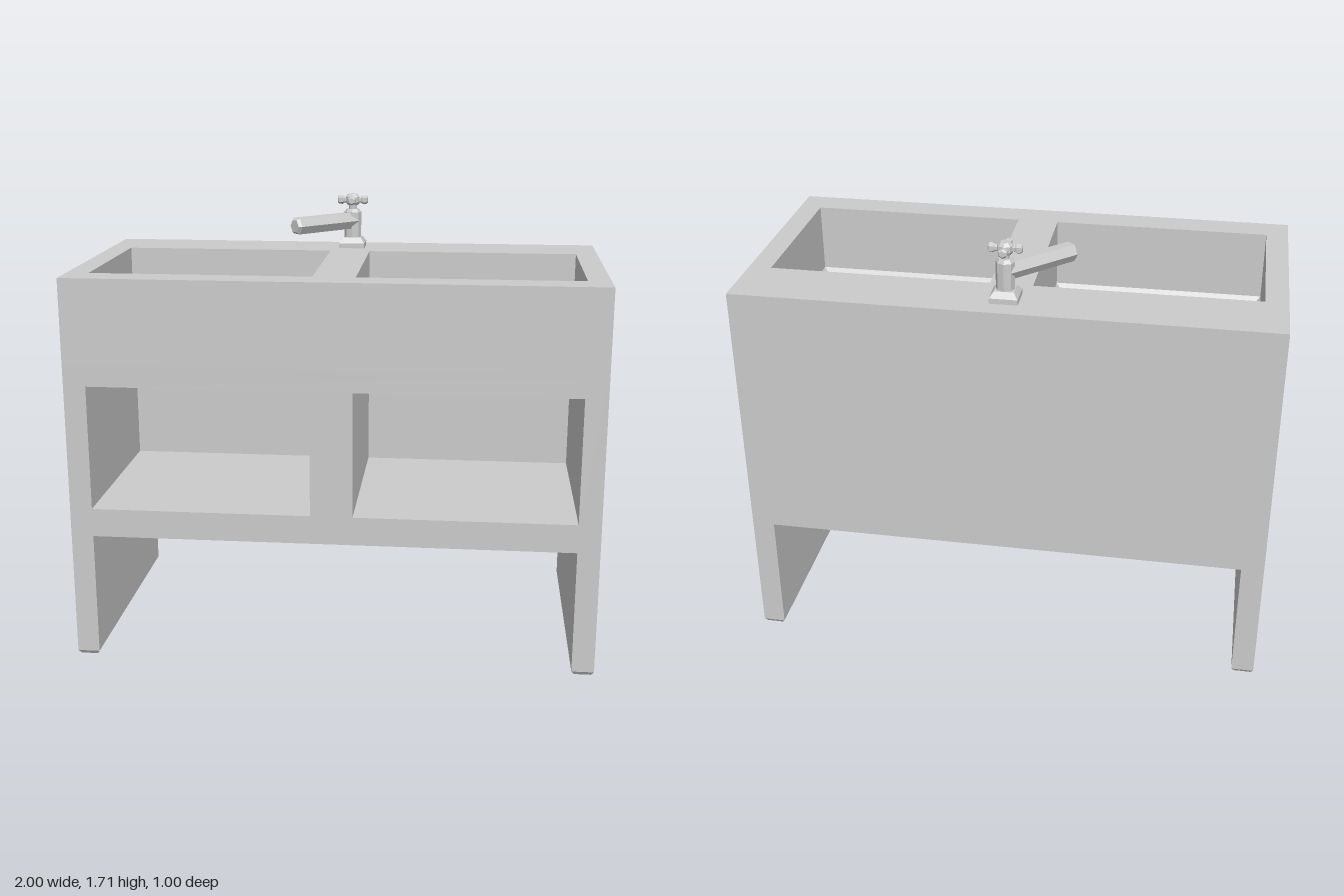
import * as THREE from 'three';

const material = new THREE.MeshStandardMaterial({ color: 0xcccccc, flatShading: true });

function add(parent, name, geometry, x = 0, y = 0, z = 0) {
  const mesh = new THREE.Mesh(geometry, material);
  mesh.name = name;
  mesh.position.set(x, y, z);
  parent.add(mesh);
  return mesh;
}

// Rectangular rings [halfX, halfZ, y] joined by flat faces; listing them downwards turns the faces inwards
function rectLoft(rings, capped = true) {
  const corners = rings.map(([a, b, y]) => [[a, y, b], [a, y, -b], [-a, y, -b], [-a, y, b]]);
  const points = [];
  const quad = (a, b, c, d) => points.push(...a, ...b, ...c, ...a, ...c, ...d);
  for (let i = 0; i + 1 < corners.length; i++) {
    for (let k = 0; k < 4; k++) {
      const n = (k + 1) % 4;
      quad(corners[i][k], corners[i][n], corners[i + 1][n], corners[i + 1][k]);
    }
  }
  if (capped) {
    quad(...corners[corners.length - 1]);
    quad(...[...corners[0]].reverse());
  }
  const geometry = new THREE.BufferGeometry();
  geometry.setAttribute('position', new THREE.Float32BufferAttribute(points, 3));
  geometry.computeVertexNormals();
  return geometry;
}

function polygon(points, Type = THREE.Shape) {
  return new Type(points.map(([x, y]) => new THREE.Vector2(x, y)));
}

const rect = (x0, y0, x1, y1, Type) => polygon([[x0, y0], [x1, y0], [x1, y1], [x0, y1]], Type);
const extrude = (shape, depth) => new THREE.ExtrudeGeometry(shape, { depth, bevelEnabled: false });

// Round part turned from a [radius, y] profile
const turned = (profile, sides) => new THREE.LatheGeometry(profile.map(([r, y]) => new THREE.Vector2(r, y)), sides);

const TOP = 1.49, FLOOR = 1.17, FOOT = 0.015, SHELF = 0.495;
const IN = 0.08, OUT = 0.915; // inner and outer x of the basins and cubbies

function cabinet() {
  const group = new THREE.Group();
  group.name = 'cabinet';

  // Body outline with the two side panels reaching down as legs
  const outline = () => polygon([
    [-1, FOOT], [-OUT, FOOT], [-OUT, SHELF], [OUT, SHELF],
    [OUT, FOOT], [1, FOOT], [1, FLOOR], [-1, FLOOR],
  ]);
  const front = outline();
  for (const [a, b] of [[-OUT, -IN], [IN, OUT]]) front.holes.push(rect(a, 0.605, b, 1.085, THREE.Path));
  add(group, 'cubbyBody', extrude(front, 0.75), 0, 0, -0.25);
  add(group, 'backBody', extrude(outline(), 0.25), 0, 0, -0.5);

  // Worktop with the basin openings, drawn with -z as the shape's y
  const slab = rect(-1, -0.5, 1, 0.5);
  for (const [a, b] of [[-OUT, -IN], [IN, OUT]]) slab.holes.push(rect(a, -0.38, b, 0.25, THREE.Path));
  add(group, 'worktop', extrude(slab, TOP - FLOOR).rotateX(-Math.PI / 2), 0, FLOOR, 0);

  // Sloped edges round the basin floors, and bevelled feet
  const halfX = (OUT - IN) / 2, halfZ = 0.315, slope = 0.052;
  for (const side of [-1, 1]) {
    add(group, 'basinSlope', rectLoft([[halfX, halfZ, 0.052], [halfX - slope, halfZ - slope, 0]], false),
      side * (IN + OUT) / 2, FLOOR, 0.065);
    add(group, 'foot', rectLoft([[0.0325, 0.49, 0], [0.0425, 0.5, FOOT]]), side * (1 + OUT) / 2, 0, 0);
  }
  return group;
}

function faucet() {
  const group = new THREE.Group();
  group.name = 'faucet';
  group.position.set(0, TOP, -0.375);

  add(group, 'faucetBase', rectLoft([[0.052, 0.052, 0], [0.052, 0.052, 0.02], [0.036, 0.036, 0.042]]));
  add(group, 'column', turned([[0.035, 0.04], [0.035, 0.145], [0.026, 0.158], [0, 0.158]], 8));

  // Six-sided spout swung out diagonally, with a slightly bevelled tip
  const spout = turned([[0.037, 0], [0.037, 0.293], [0.027, 0.305], [0, 0.305]], 6);
  spout.rotateY(Math.PI / 6).rotateX(Math.PI / 2);
  // Turn the hexagon so its flats lie at the top and bottom
  spout.rotateZ(Math.PI / 6);
  spout.computeBoundingBox();
  if (spout.boundingBox.max.y > 0.035) spout.rotateZ(Math.PI / 6);
  add(group, 'spout', spout, 0, 0.11, 0).rotation.y = -Math.PI / 4;

  // Cross handle
  const handle = new THREE.Group();
  handle.name = 'handle';
  handle.position.y = 0.195;
  group.add(handle);
  add(handle, 'handleStem', new THREE.CylinderGeometry(0.017, 0.017, 0.05, 8), 0, -0.025, 0);
  add(handle, 'handleHub', turned([[0, -0.021], [0.023, -0.021], [0.03, -0.01], [0.03, 0.012], [0.018, 0.024], [0, 0.024]], 8));
  for (let i = 0; i < 4; i++) {
    const arm = turned([[0.011, 0.015], [0.013, 0.035], [0.018, 0.042], [0.018, 0.056], [0.012, 0.062], [0, 0.062]], 6);
    add(handle, 'handleArm', arm.rotateX(Math.PI / 2)).rotation.y = i * Math.PI / 2;
  }
  return group;
}

export function createModel() {
  const model = new THREE.Group();
  model.name = 'doubleSinkUnit';
  model.add(cabinet(), faucet());
  return model;
}
